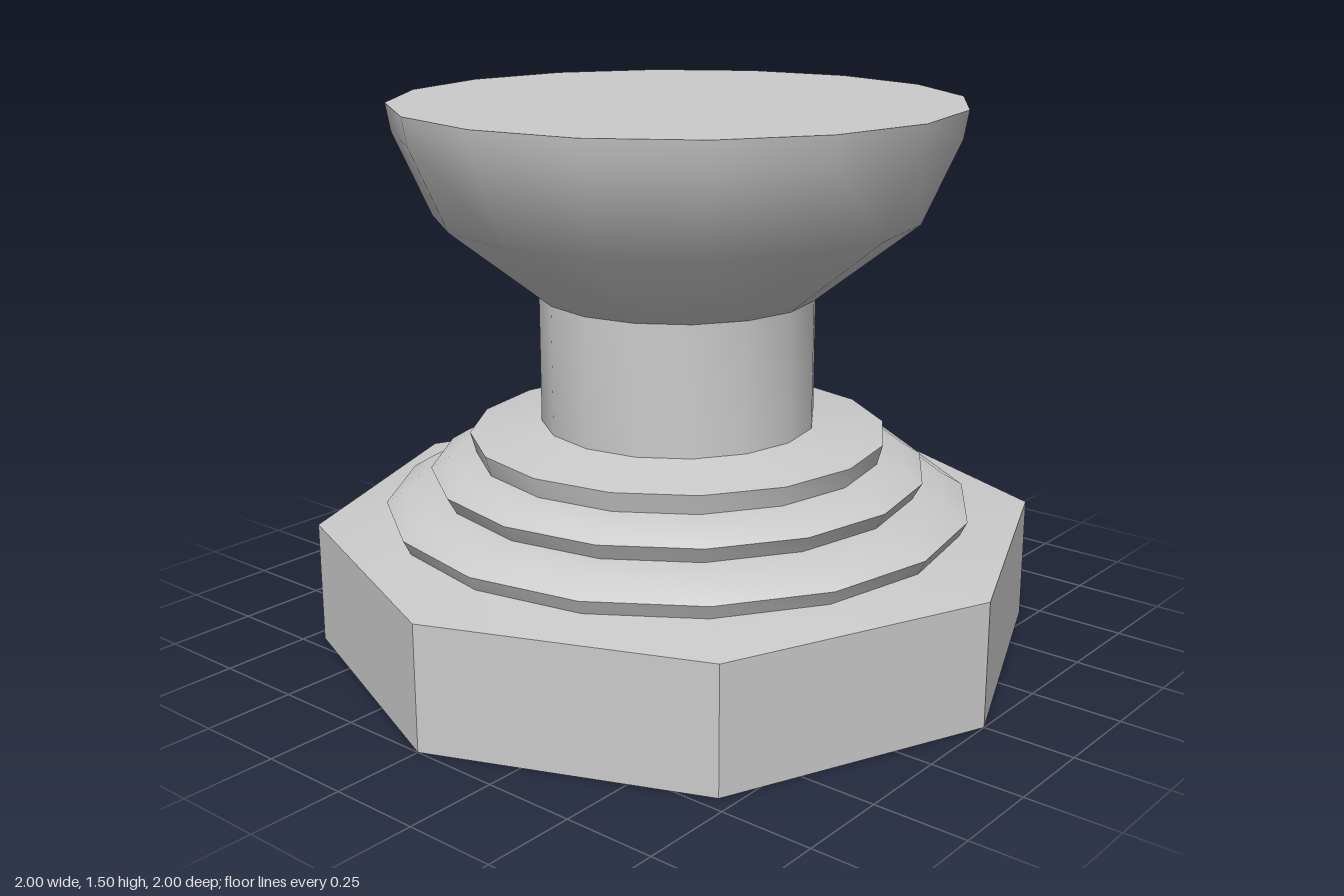
import * as THREE from 'three';
import { toCreasedNormals } from 'three/addons/utils/BufferGeometryUtils.js';

const SIDES = 16;

export function createModel() {
  const model = new THREE.Group();
  const material = new THREE.MeshStandardMaterial({ color: 0xcccccc, side: THREE.DoubleSide });

  const add = (name, geometry) => {
    const mesh = new THREE.Mesh(geometry, material);
    mesh.name = name;
    model.add(mesh);
    return mesh;
  };

  // Open turned shell from a [radius, height] profile, listed bottom to top
  const turned = (profile) =>
    new THREE.LatheGeometry(profile.map(([r, y]) => new THREE.Vector2(r, y)), SIDES);
  const creased = (geometry) => toCreasedNormals(geometry, 0.6);

  // Hollow octagonal plinth: every second outer point is pulled in to the middle
  // of an octagon side, while the inner edge of the top stays sixteen-sided
  const plinth = turned([[1, 0], [1, 0.34], [0.79, 0.36]]);
  const pos = plinth.attributes.position;
  for (let i = 0; i < pos.count; i++) {
    const column = Math.floor(i / 3);
    if (column % 2 === 1 && i % 3 < 2) {
      const k = Math.cos(Math.PI / 8);
      pos.setX(i, pos.getX(i) * k);
      pos.setZ(i, pos.getZ(i) * k);
    }
  }
  add('plinth', creased(plinth));

  // Three stepped mouldings, each flaring out and sloping in to the next
  add('lowerStep', creased(turned([[0.79, 0.36], [0.81, 0.4], [0.745, 0.44], [0.66, 0.452]])));
  add('middleStep', creased(turned([[0.66, 0.452], [0.685, 0.497], [0.635, 0.528], [0.56, 0.54]])));
  add('upperStep', creased(turned([[0.56, 0.54], [0.575, 0.595], [0.378, 0.625]])));

  // Column
  add('column', creased(turned([[0.378, 0.625], [0.378, 0.98]])));

  // Flared bowl with a flat top
  add('bowl', creased(turned([[0.378, 0.98], [0.655, 1.2], [0.755, 1.425], [0.768, 1.5]])));
  const top = add('bowlTop', new THREE.CircleGeometry(0.768, SIDES).rotateX(-Math.PI / 2));
  top.position.y = 1.5;

  return model;
}
